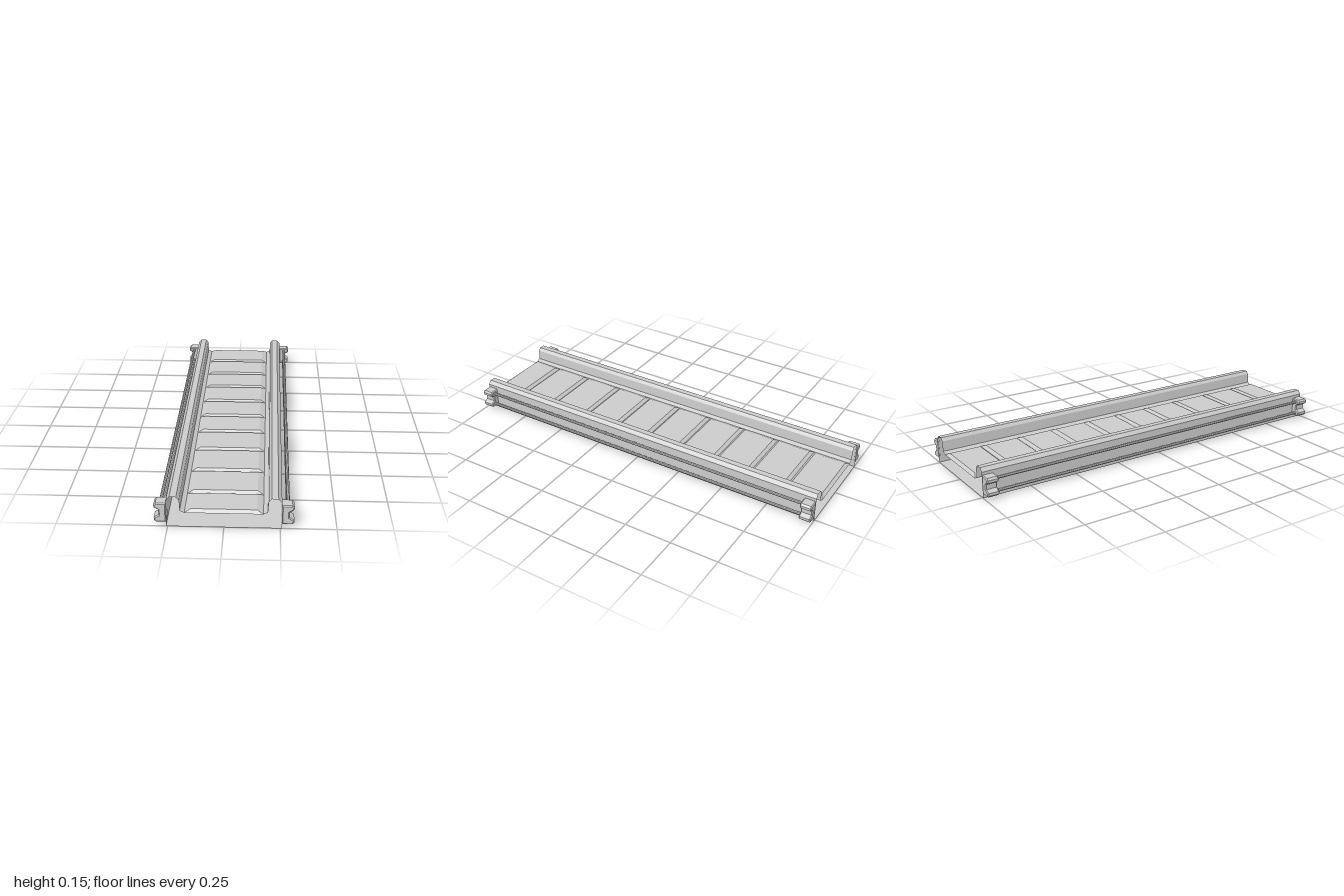
import * as THREE from 'three';

const solid = new THREE.MeshStandardMaterial({ color: 0xcccccc, flatShading: true });
const thin = new THREE.MeshStandardMaterial({ color: 0xcccccc, flatShading: true, side: THREE.DoubleSide });

// Skin a row of open cross-sections: [{ z, pts: [[x, y], ...] }, ...]
function loft(sections) {
  const pos = [], index = [];
  const n = sections[0].pts.length;
  sections.forEach(({ z, pts }) => pts.forEach(([x, y]) => pos.push(x, y, z)));
  for (let i = 0; i < sections.length - 1; i++) {
    for (let j = 0; j < n - 1; j++) {
      const a = i * n + j, b = a + 1, c = a + n, d = c + 1;
      index.push(a, c, b, b, c, d);
    }
  }
  const geo = new THREE.BufferGeometry();
  geo.setAttribute('position', new THREE.Float32BufferAttribute(pos, 3));
  geo.setIndex(index);
  const flat = geo.toNonIndexed();
  flat.computeVertexNormals();
  return flat;
}

export function createModel() {
  const group = new THREE.Group();
  const add = (name, geo, mat = solid) => {
    const mesh = new THREE.Mesh(geo, mat);
    mesh.name = name;
    group.add(mesh);
    return mesh;
  };

  // Hull: both raised curbs, outer walls and underside, open at the ends
  const curb = [
    [0.175, 0.07], [0.195, 0.08], [0.198, 0.132], [0.21, 0.148],
    [0.24, 0.148], [0.256, 0.13], [0.257, 0],
  ];
  const hull = [...curb, ...curb.map(([x, y]) => [-x, y]).reverse()];
  add('curbsAndUnderside', loft([{ z: -1, pts: hull }, { z: 1, pts: hull }]), thin);

  // Deck: raised panels with chamfered edges, parted by V grooves
  const edge = 0.175, low = 0.07, high = 0.083, half = 0.016;
  const ridge = z => ({ z, pts: [[-edge, low], [-0.147, high], [0.147, high], [edge, low]] });
  const valley = z => ({ z, pts: [[-edge, low], [-edge, low], [edge, low], [edge, low]] });
  const deck = [valley(-1), ridge(-1 + half)];
  for (const z of [-0.805, -0.6, -0.4, -0.195, 0.002, 0.195, 0.4, 0.62, 0.83]) {
    deck.push(ridge(z - half), valley(z), ridge(z + half));
  }
  deck.push(ridge(1 - half), valley(1));
  add('deckPanels', loft(deck), thin);

  // Side rods held by a notched bracket at each corner
  const notch = [
    [0.256, 0.115], [0.302, 0.115], [0.311, 0.106], [0.311, 0.093], [0.29, 0.08],
    [0.29, 0.055], [0.311, 0.042], [0.311, 0.029], [0.302, 0.02], [0.256, 0.02],
  ];
  const bevel = 0.005;
  for (const side of [-1, 1]) {
    const shape = new THREE.Shape(notch.map(([x, y]) => new THREE.Vector2(side * x, y)));
    const bracket = new THREE.ExtrudeGeometry(shape, {
      depth: 0.06 - 2 * bevel, bevelEnabled: true, bevelSegments: 1,
      bevelThickness: bevel, bevelSize: bevel, bevelOffset: -bevel,
    });
    for (const z of [-1, 0.94]) add('bracket', bracket).position.z = z + bevel;

    for (const y of [0.1, 0.035]) {
      const rod = new THREE.CylinderGeometry(0.008, 0.008, 1.92, 8).rotateX(Math.PI / 2);
      add('sideRod', rod).position.set(side * 0.283, y, 0);
    }
  }
  return group;
}
